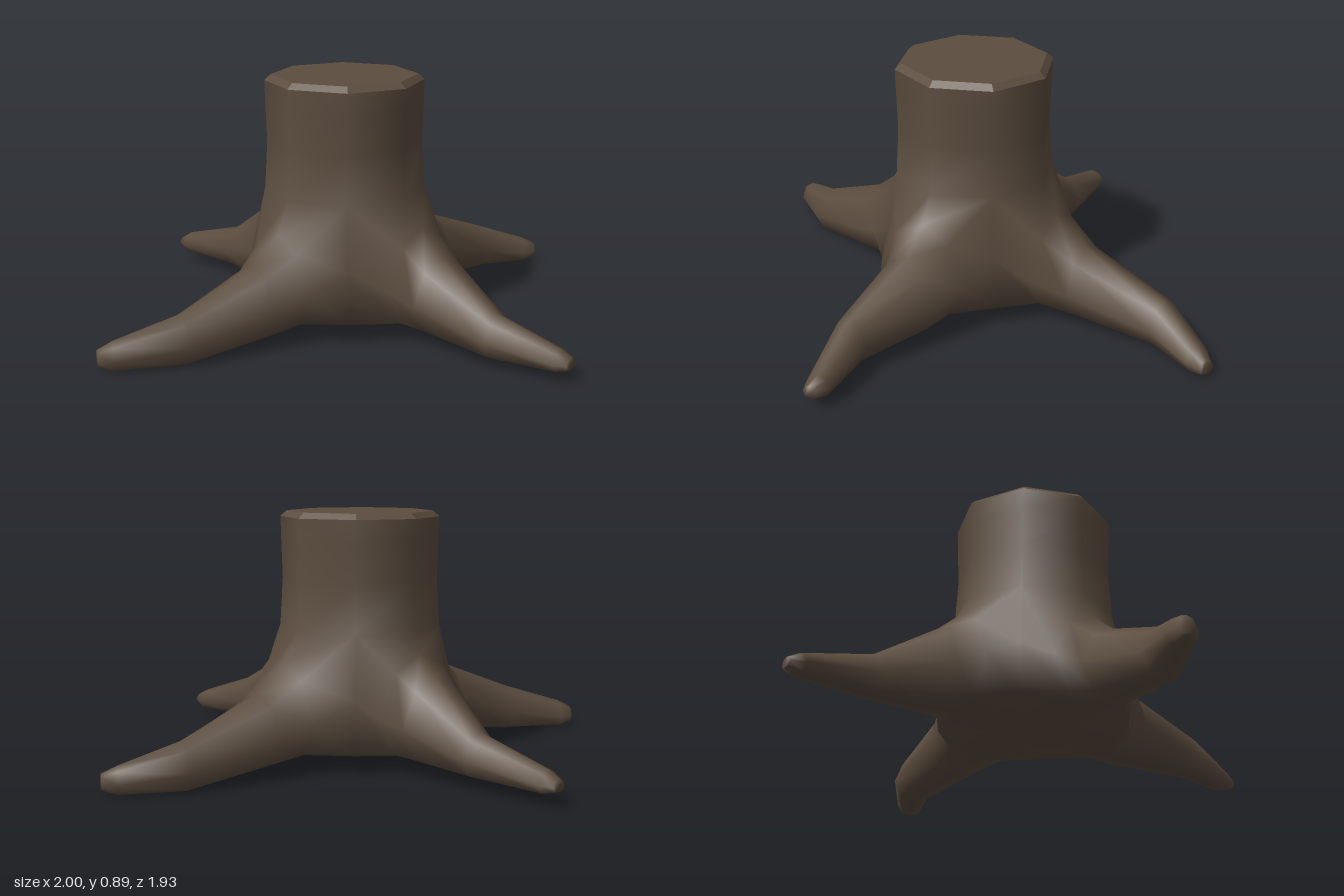
import * as THREE from 'three';
import { mergeVertices } from 'three/addons/utils/BufferGeometryUtils.js';

const CX = -0.02, CZ = -0.02; // trunk axis

// Octagonal trunk point i (0 = front, 2 = left, 4 = back, 6 = right) at radius r, height y
function trunkPoint(i, r, y) {
  const a = (i * Math.PI) / 4;
  return [CX + Math.sin(a) * r, y, CZ + Math.cos(a) * r];
}

// Each root: rows of [x, z, half width, top y, bottom y] from trunk to tip
const ROOTS = [
  [[-0.01, 0.34, 0.175, 0.39, 0.05], [-0.01, 0.43, 0.135, 0.30, 0.04], [-0.058, 0.70, 0.073, 0.18, 0.03],
    [-0.015, 0.92, 0.048, 0.105, 0.03], [-0.015, 0.965, 0.028, 0.085, 0.042]],
  [[0.33, -0.01, 0.175, 0.37, 0.05], [0.45, -0.01, 0.13, 0.28, 0.035], [0.76, -0.005, 0.078, 0.165, 0.0],
    [0.935, 0.095, 0.05, 0.095, 0.0], [0.98, 0.125, 0.028, 0.07, 0.015]],
  [[-0.01, -0.34, 0.185, 0.41, 0.05], [-0.005, -0.42, 0.142, 0.34, 0.045], [0.02, -0.65, 0.075, 0.19, 0.04],
    [0.005, -0.92, 0.048, 0.115, 0.038], [0.005, -0.965, 0.028, 0.09, 0.05]],
  [[-0.36, -0.02, 0.17, 0.365, 0.05], [-0.47, -0.035, 0.125, 0.28, 0.03], [-0.75, -0.085, 0.08, 0.17, 0.0],
    [-0.945, -0.2, 0.05, 0.1, 0.0], [-0.99, -0.225, 0.028, 0.075, 0.015]],
];

// Root cross-section: [sideways, upward] fractions, up one flank, over the crown, down the other
const SECTION = [[-0.65, 0.06], [-1, 0.42], [-0.62, 0.85], [0, 1], [0.62, 0.85], [1, 0.42], [0.65, 0.06], [0, 0]];

function rootSections(k) {
  const rows = ROOTS[k], l = k * 2 - 1, c = k * 2, r = k * 2 + 1;
  // The first section is an arch shared with the trunk and the neighbouring roots
  const loops = [[
    trunkPoint(l, 0.335, 0.07), trunkPoint(l, 0.315, 0.25), trunkPoint(l, 0.288, 0.48),
    trunkPoint(c, 0.288, 0.48),
    trunkPoint(r, 0.288, 0.48), trunkPoint(r, 0.315, 0.25), trunkPoint(r, 0.335, 0.07),
    [CX, 0.055, CZ],
  ]];
  rows.forEach(([x, z, w, top, bottom], i) => {
    const before = i ? rows[i - 1] : [CX, CZ];
    const after = rows[Math.min(i + 1, rows.length - 1)];
    const t = new THREE.Vector2(after[0] - before[0], after[1] - before[1]).normalize();
    loops.push(SECTION.map(([u, v]) => [x + t.y * u * w, bottom + (top - bottom) * v, z - t.x * u * w]));
  });
  return loops;
}

function geometryFrom(positions) {
  const g = new THREE.BufferGeometry();
  g.setAttribute('position', new THREE.Float32BufferAttribute(positions, 3));
  return g;
}

export function createModel() {
  const bark = new THREE.MeshStandardMaterial({ color: 0x5c4d3f });
  bark.name = 'dark bark';
  const group = new THREE.Group();
  group.name = 'treeStump';

  const body = [], rim = [];
  const quad = (out, a, b, c, d) => out.push(...a, ...b, ...c, ...a, ...c, ...d);

  // Trunk sides
  const rings = [[0.288, 0.48], [0.278, 0.65], [0.283, 0.8], [0.285, 0.87]];
  for (let n = 0; n < rings.length - 1; n++) {
    const [r0, y0] = rings[n], [r1, y1] = rings[n + 1];
    for (let i = 0; i < 8; i++) {
      quad(body, trunkPoint(i, r0, y0), trunkPoint(i + 1, r0, y0), trunkPoint(i + 1, r1, y1), trunkPoint(i, r1, y1));
    }
  }

  // Four roots, with the underside
  for (let k = 0; k < 4; k++) {
    const loops = rootSections(k);
    for (let s = 0; s < loops.length - 1; s++) {
      const a = loops[s], b = loops[s + 1];
      for (let j = 0; j < 8; j++) {
        const m = (j + 1) % 8;
        quad(body, b[j], b[m], a[m], a[j]);
      }
    }
    // Blunt tip
    const end = loops[loops.length - 1];
    for (let j = 1; j < 7; j++) body.push(...end[0], ...end[j + 1], ...end[j]);
  }
  const bodyGeometry = mergeVertices(geometryFrom(body), 1e-4);
  bodyGeometry.computeVertexNormals();
  const trunk = new THREE.Mesh(bodyGeometry, bark);
  trunk.name = 'trunkAndRoots';
  group.add(trunk);

  // Bevelled rim and flat cut top, with sharp edges
  for (let i = 0; i < 8; i++) {
    const a = trunkPoint(i, 0.262, 0.89), b = trunkPoint(i + 1, 0.262, 0.89);
    quad(rim, trunkPoint(i, 0.285, 0.87), trunkPoint(i + 1, 0.285, 0.87), b, a);
    rim.push(CX, 0.89, CZ, ...a, ...b);
  }
  const rimGeometry = geometryFrom(rim);
  rimGeometry.computeVertexNormals();
  const cutTop = new THREE.Mesh(rimGeometry, bark);
  cutTop.name = 'cutTop';
  group.add(cutTop);

  return group;
}
